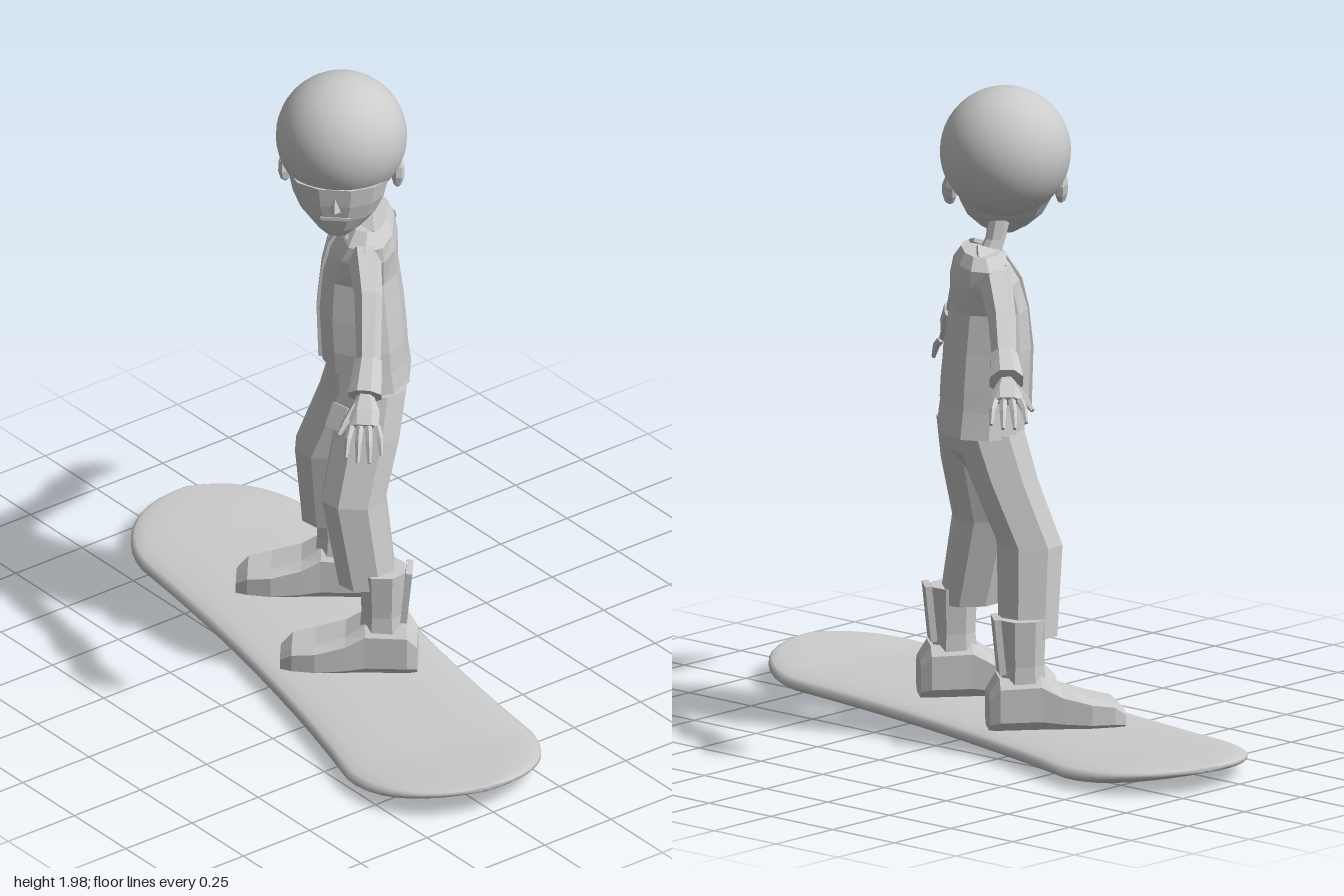
import * as THREE from 'three';

const V = (x, y, z) => new THREE.Vector3(x, y, z);
const UP = V(0, 1, 0);
const BODY_YAW = -0.7, HEAD_YAW = 0.8;
const side = (yaw) => V(Math.cos(yaw), 0, -Math.sin(yaw));
const ahead = (yaw) => V(Math.sin(yaw), 0, Math.cos(yaw));

// One cross-section around axis d; pow < 1 makes it squarer
function section(c, d, ex, a, b, n = 8, pow = 1) {
  const ez = ex.clone().cross(d);
  const bend = (v) => Math.sign(v) * Math.abs(v) ** pow;
  return Array.from({ length: n }, (_, i) => {
    const t = ((i + 0.5) / n) * Math.PI * 2;
    return c.clone().addScaledVector(ex, a * bend(Math.sin(t))).addScaledVector(ez, b * bend(Math.cos(t)));
  });
}

// Skin over a list of cross-sections, capped at both ends
function loft(name, rings, smooth = false) {
  const n = rings[0].length, last = rings.length - 1, pts = rings.flat(), idx = [];
  for (let i = 0; i < last; i++) for (let j = 0; j < n; j++) {
    const k = (j + 1) % n, p = i * n, q = p + n;
    idx.push(p + j, p + k, q + k, p + j, q + k, q + j);
  }
  for (const [i, flip] of [[0, true], [last, false]]) {
    const mid = rings[i].reduce((s, p) => s.add(p), V(0, 0, 0)).divideScalar(n);
    const m = pts.push(mid) - 1;
    for (let j = 0; j < n; j++) {
      const p = i * n + j, q = i * n + (j + 1) % n;
      idx.push(m, ...(flip ? [q, p] : [p, q]));
    }
  }
  const g = new THREE.BufferGeometry().setFromPoints(pts);
  g.setIndex(idx);
  g.computeVertexNormals();
  return meshOf(name, g, smooth);
}

function meshOf(name, geometry, smooth = false) {
  const m = new THREE.Mesh(geometry, new THREE.MeshStandardMaterial({ color: 0xcccccc, flatShading: !smooth, side: THREE.DoubleSide }));
  m.name = name;
  return m;
}

// Upright form: rows of [x, y, z, half width, half depth], bottom to top
const column = (name, rows, yaw = BODY_YAW, n = 10, pow = 0.85) =>
  loft(name, rows.map(([x, y, z, a, b]) => section(V(x, y, z), UP, side(yaw), a, b, n, pow)));

// Limb along points, with [half width, half thickness] at each
function limb(name, pts, sizes, n = 6) {
  return loft(name, pts.map((p, i) => {
    const d = pts[Math.min(i + 1, pts.length - 1)].clone().sub(pts[Math.max(i - 1, 0)]).normalize();
    return section(p, d, UP.clone().cross(d).normalize(), sizes[i][0], sizes[i][1], n);
  }));
}

function makeBoard() {
  const rings = [], mid = 0.695, tip = 0.32, stations = [];
  for (let i = 10; i > 0; i--) stations.push(-mid - tip * Math.sin((i / 10) * 1.53));
  for (let i = -5; i <= 5; i++) stations.push((mid * i) / 5);
  for (let i = 1; i <= 10; i++) stations.push(mid + tip * Math.sin((i / 10) * 1.53));
  for (const s of stations) {
    const e = Math.max(0, Math.abs(s) - mid) / tip;
    const w = (0.272 + 0.033 * Math.min(1, Math.abs(s) / mid) ** 2) * Math.sqrt(1 - e * e);
    const lift = (s > 0 ? 0.048 : 0.03) * e ** 1.5;
    rings.push(section(V(s, 0.039 + lift, 0), V(1, 0, 0), V(0, 0, -1), w, 0.038 - 0.029 * e * e, 24, 0.75));
  }
  const board = loft('board', rings, true);
  board.rotation.y = -0.205;
  board.position.z = 0.067;
  return board;
}

function makeHead() {
  const head = new THREE.Group();
  head.name = 'head';
  head.position.set(-0.03, 1.783, 0.023);
  head.rotation.y = HEAD_YAW;
  head.add(meshOf('hair', new THREE.SphereGeometry(0.196, 36, 24), true));
  // Face tapering to the chin
  head.add(column('face', [
    [0, -0.27, 0.105, 0.035, 0.03], [0, -0.245, 0.085, 0.07, 0.065], [0, -0.2, 0.06, 0.115, 0.105],
    [0, -0.15, 0.045, 0.14, 0.13], [0, -0.09, 0.035, 0.155, 0.145],
  ], 0, 12));
  const nose = meshOf('nose', new THREE.ConeGeometry(0.018, 0.045, 4));
  nose.position.set(0, -0.14, 0.178);
  const mouth = meshOf('mouth', new THREE.BoxGeometry(0.09, 0.01, 0.02));
  mouth.position.set(0, -0.195, 0.157);
  head.add(nose, mouth);
  for (const s of [-1, 1]) {
    const ear = meshOf('ear', new THREE.SphereGeometry(1, 7, 5));
    ear.scale.set(0.02, 0.05, 0.032);
    ear.position.set(s * 0.168, -0.115, -0.005);
    ear.rotation.set(-0.25, s * 0.4, 0);
    head.add(ear);
  }
  return head;
}

// Arm with sleeve cuff, palm, four fingers and thumb
function makeArm(name, shoulder, middle, cuffTop, cuffEnd, knuckle, tip, thumbSide) {
  const g = new THREE.Group();
  g.name = name;
  g.add(limb('sleeve', [shoulder, middle, cuffTop, cuffEnd], [[0.05, 0.055], [0.042, 0.043], [0.036, 0.036], [0.034, 0.032]]));
  g.add(limb('cuff', [cuffTop, cuffEnd], [[0.044, 0.044], [0.054, 0.05]], 8));
  g.add(limb('palm', [cuffEnd, cuffEnd.clone().lerp(knuckle, 0.5), knuckle], [[0.027, 0.022], [0.045, 0.022], [0.044, 0.016]]));
  const d = tip.clone().sub(knuckle), across = UP.clone().cross(d).normalize();
  for (let i = 0; i < 4; i++) {
    const o = (i - 1.5) * 0.025, reach = [0.85, 1, 1, 0.8][i];
    const root = knuckle.clone().addScaledVector(across, o);
    const joint = root.clone().addScaledVector(d, reach * 0.5).addScaledVector(across, o * 0.25).add(V(0, 0.01, 0));
    const end = root.clone().addScaledVector(d, reach).addScaledVector(across, o * 0.4);
    g.add(limb('finger', [root, joint, end], [[0.012, 0.013], [0.011, 0.012], [0.006, 0.007]], 5));
  }
  const base = cuffEnd.clone().lerp(knuckle, 0.3).addScaledVector(across, thumbSide * 0.025);
  const end = knuckle.clone().addScaledVector(across, thumbSide * 0.075).add(V(0, -0.03, 0));
  g.add(limb('thumb', [base, base.clone().lerp(end, 0.6), end], [[0.015, 0.015], [0.013, 0.013], [0.007, 0.007]], 5));
  return g;
}

// Boot with ankle and high back; the foot points the way the body faces
function makeBoot(name, x, z) {
  const g = new THREE.Group();
  g.name = name;
  const f = ahead(BODY_YAW), ex = UP.clone().cross(f);
  const rows = [[-0.105, 0.062, 0.12], [-0.075, 0.078, 0.165], [0.05, 0.08, 0.17], [0.11, 0.085, 0.13],
    [0.2, 0.09, 0.1], [0.27, 0.075, 0.085], [0.305, 0.05, 0.05]];
  g.add(loft('foot', rows.map(([t, w, h]) =>
    section(V(x, 0.073 + h / 2, z).addScaledVector(f, t), f, ex, w, h / 2, 8, 0.5))));
  g.add(column('ankle', [[x, 0.2, z, 0.072, 0.074], [x, 0.27, z, 0.066, 0.066], [x, 0.41, z, 0.072, 0.072]], BODY_YAW, 8));
  const back = meshOf('highBack', new THREE.BoxGeometry(0.09, 0.17, 0.02));
  back.position.set(x, 0.33, z).addScaledVector(f, -0.072);
  back.rotation.set(-0.1, BODY_YAW, 0, 'YXZ');
  g.add(back);
  return g;
}

export function createModel() {
  const model = new THREE.Group();
  model.name = 'snowboarder';
  model.add(makeBoard(), makeHead());

  // Torso: neck, vest and shirt hem
  model.add(column('neck', [[-0.01, 1.44, -0.05, 0.04, 0.04], [-0.02, 1.52, -0.01, 0.03, 0.03], [-0.02, 1.62, 0.02, 0.035, 0.035]], BODY_YAW, 8));
  model.add(column('vest', [
    [-0.015, 1.03, -0.055, 0.188, 0.13], [-0.015, 1.1, -0.05, 0.182, 0.13], [-0.02, 1.2, -0.045, 0.168, 0.128],
    [-0.025, 1.32, -0.045, 0.152, 0.115], [-0.015, 1.41, -0.052, 0.178, 0.1], [-0.01, 1.46, -0.06, 0.178, 0.08],
    [-0.01, 1.495, -0.065, 0.125, 0.055],
  ]));
  model.add(column('shirtHem', [[-0.015, 0.95, -0.07, 0.192, 0.128], [-0.015, 1.05, -0.06, 0.178, 0.122]]));
  // Front opening and collar of the vest
  const f = ahead(BODY_YAW), l = side(BODY_YAW);
  for (const s of [-1, 1]) {
    const rows = [[1.02, -0.055, 0.128], [1.2, -0.045, 0.126], [1.32, -0.045, 0.113], [1.41, -0.052, 0.097], [1.48, -0.062, 0.058]];
    model.add(loft('frontEdge', rows.map(([y, z, t]) =>
      section(V(-0.018, y, z).addScaledVector(f, t).addScaledVector(l, s * 0.024), UP, l, 0.02, 0.01, 4, 0.5))));
    const flap = meshOf('collarFlap', new THREE.BoxGeometry(0.075, 0.012, 0.09));
    flap.position.set(-0.01, 1.487, -0.06).addScaledVector(l, s * 0.075).addScaledVector(f, 0.02);
    flap.rotation.set(0.35, BODY_YAW, -s * 0.3, 'YXZ');
    model.add(flap);
  }

  // Arms
  model.add(makeArm('leftArm', V(0.09, 1.43, 0.03), V(0.2, 1.36, 0.1), V(0.31, 1.215, 0.185),
    V(0.37, 1.145, 0.245), V(0.43, 1.085, 0.295), V(0.485, 1.0, 0.34), -1));
  model.add(makeArm('rightArm', V(-0.13, 1.425, -0.13), V(-0.24, 1.34, -0.22), V(-0.33, 1.255, -0.31),
    V(-0.4, 1.205, -0.375), V(-0.46, 1.165, -0.435), V(-0.52, 1.1, -0.495), 1));

  // Trousers
  model.add(column('seat', [[-0.02, 0.83, -0.06, 0.07, 0.06], [-0.015, 0.9, -0.065, 0.17, 0.11], [-0.015, 0.98, -0.07, 0.18, 0.12]]));
  model.add(column('leftLeg', [[0.165, 0.36, 0.075, 0.08, 0.09], [0.11, 0.63, 0.085, 0.095, 0.1],
    [0.09, 0.82, 0.02, 0.095, 0.105], [0.065, 0.96, -0.02, 0.095, 0.11]], BODY_YAW, 8));
  model.add(column('rightLeg', [[-0.22, 0.35, -0.085, 0.084, 0.09], [-0.195, 0.62, -0.05, 0.097, 0.1],
    [-0.13, 0.82, -0.095, 0.095, 0.105], [-0.09, 0.96, -0.115, 0.095, 0.11]], BODY_YAW, 8));
  const pocket = meshOf('pocketFlap', new THREE.BoxGeometry(0.06, 0.075, 0.015));
  pocket.position.set(0.07, 0.89, 0.115);
  pocket.rotation.set(-0.5, 0.15, 0, 'YXZ');
  model.add(pocket);

  model.add(makeBoot('leftBoot', 0.205, 0.05), makeBoot('rightBoot', -0.235, -0.125));
  return model;
}
